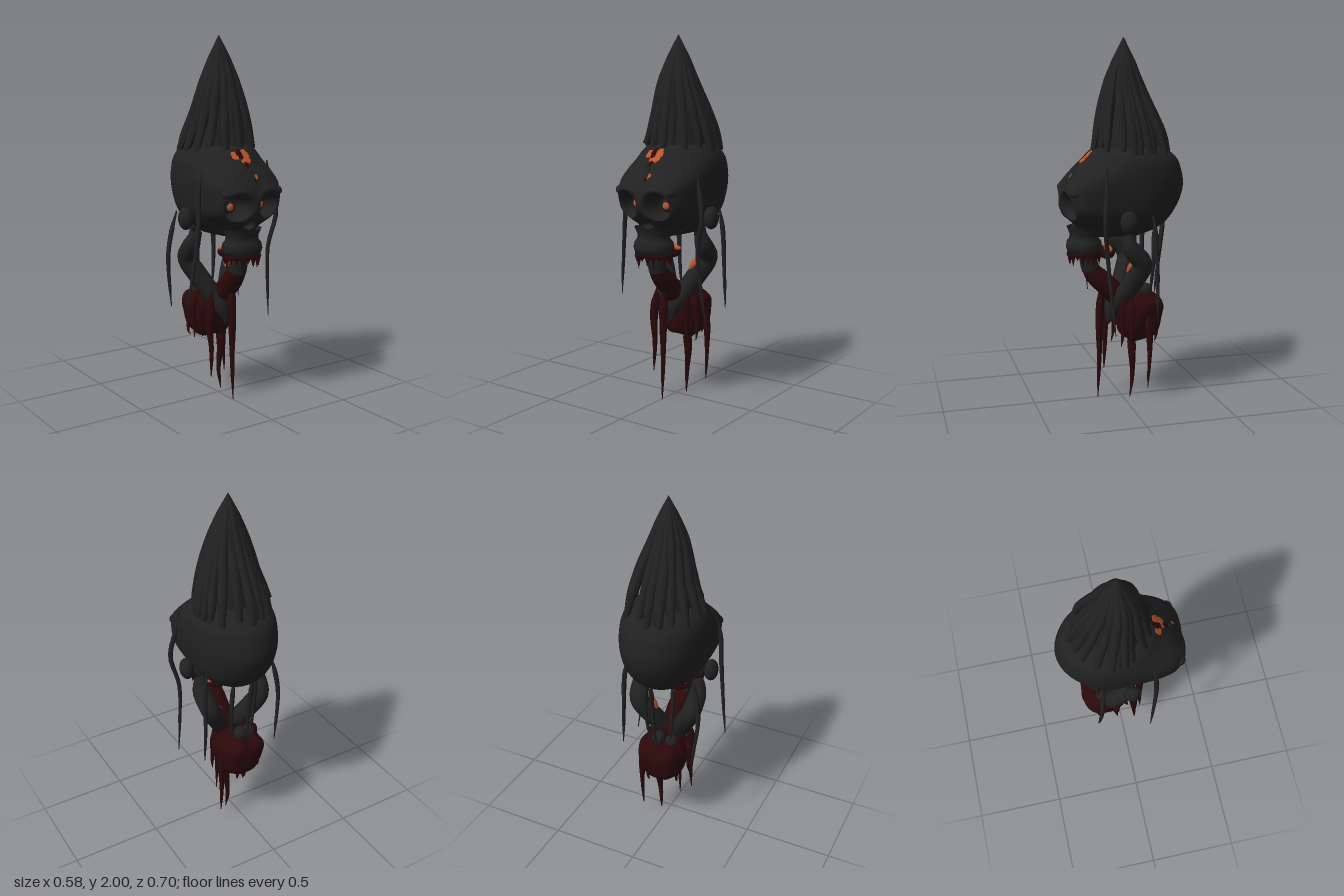
import * as THREE from 'three';

const mat = (name, color, side = THREE.FrontSide) => {
  const m = new THREE.MeshStandardMaterial({ color, side });
  m.name = name;
  return m;
};
const V = (p) => new THREE.Vector3(...p);
const smooth = THREE.MathUtils.smoothstep;

// Tube through points, its radius following the list of radii
function taper(points, radii, seg = 20, sides = 8) {
  const curve = new THREE.CatmullRomCurve3(points.map(V));
  const geo = new THREE.TubeGeometry(curve, seg, 1, sides);
  const pos = geo.attributes.position, v = new THREE.Vector3();
  for (let i = 0; i <= seg; i++) {
    const c = curve.getPointAt(i / seg);
    const f = (i / seg) * (radii.length - 1), k = Math.min(Math.floor(f), radii.length - 2);
    const r = THREE.MathUtils.lerp(radii[k], radii[k + 1], f - k);
    for (let j = 0; j <= sides; j++) {
      const n = i * (sides + 1) + j;
      v.fromBufferAttribute(pos, n).sub(c).multiplyScalar(r).add(c);
      pos.setXYZ(n, v.x, v.y, v.z);
    }
  }
  geo.computeVertexNormals();
  return geo;
}

// Skull lofted from horizontal sections: y, half width, front z, back z
function skullGeometry() {
  const rows = [
    [1.43, 0.001, -0.03, -0.032], [1.425, 0.1, 0.1, -0.15], [1.4, 0.185, 0.175, -0.25],
    [1.35, 0.222, 0.225, -0.308], [1.28, 0.234, 0.285, -0.335], [1.21, 0.233, 0.33, -0.345],
    [1.14, 0.226, 0.335, -0.33], [1.07, 0.212, 0.325, -0.295], [1.01, 0.18, 0.285, -0.25],
    [0.965, 0.13, 0.268, -0.19], [0.94, 0.1, 0.255, -0.11], [0.935, 0.001, -0.02, -0.04],
  ];
  const A = new THREE.CatmullRomCurve3(rows.map((r) => new THREE.Vector3(r[1], r[0], r[2])));
  const B = new THREE.CatmullRomCurve3(rows.map((r) => new THREE.Vector3(r[1], r[0], r[3])));
  const H = 120, N = 180, cz = -0.03, cx = 0.015, pos = [];
  for (let i = 0; i <= H; i++) {
    const a = A.getPoint(i / H), b = B.getPoint(i / H);
    const n = 2 + 1.8 * (1 - smooth(a.y, 1.2, 1.36)) * smooth(a.y, 0.98, 1.1);
    for (let j = 0; j < N; j++) {
      const t = (j / N) * Math.PI * 2, c = Math.cos(t), s = Math.sin(t), e = s > 0 ? n : 2;
      const r = (Math.abs(c) ** e + Math.abs(s) ** e) ** (-1 / e);
      const x = cx + Math.max(a.x, 0.0005) * r * c, y = a.y;
      let z = cz + (s > 0 ? a.z - cz : cz - b.z) * r * s;
      if (z > 0.12) {
        // eye sockets with raised rims
        for (const ex of [-0.088, 0.106]) {
          const d = Math.hypot(x - ex, y - 1.112);
          z -= 0.1 * (1 - smooth(d, 0.04, 0.076));
          z += 0.012 * Math.exp(-(((d - 0.088) / 0.02) ** 2));
        }
        // nose hole and hollow cheeks
        const w = 0.036 * smooth(1.085 - y, 0, 0.075) * smooth(y, 0.985, 1.0);
        z -= 0.05 * (1 - smooth(Math.abs(x - 0.01), w * 0.6, w + 0.004)) * (w > 0.004 ? 1 : 0);
        z -= 0.04 * smooth(Math.abs(x - 0.01), 0.08, 0.14) * (1 - smooth(y, 0.97, 1.04));
      }
      pos.push(x, y, z);
    }
  }
  // faces sorted by colour: 0 skin, 1 orange wound, 2 red wound
  const faces = [[], [], []];
  const inside = (x, y, list) => list.some(([px, py, rx, ry]) => ((x - px) / rx) ** 2 + ((y - py) / ry) ** 2 < 1);
  const red = [[0.004, 1.38, 0.018, 0.025], [0.016, 1.322, 0.011, 0.022], [0.03, 1.25, 0.009, 0.012]];
  const orange = [[-0.024, 1.374, 0.024, 0.02], [0.036, 1.37, 0.024, 0.034], [0.008, 1.352, 0.015, 0.014], [0.042, 1.27, 0.009, 0.014]];
  for (let i = 0; i < H; i++) for (let j = 0; j < N; j++) {
    const k = (j + 1) % N, p = i * N + j, q = i * N + k;
    const x = pos[p * 3], y = pos[p * 3 + 1], z = pos[p * 3 + 2];
    const g = z < 0.1 ? 0 : inside(x, y, red) ? 2 : inside(x, y, orange) ? 1 : 0;
    faces[g].push(p, q, p + N, q, q + N, p + N);
  }
  const geo = new THREE.BufferGeometry();
  geo.setAttribute('position', new THREE.Float32BufferAttribute(pos, 3));
  geo.setIndex(faces.flat());
  let start = 0;
  faces.forEach((f, g) => { geo.addGroup(start, f.length, g); start += f.length; });
  geo.computeVertexNormals();
  return geo;
}

export function createModel() {
  const root = new THREE.Group();
  const dark = mat('charcoal skin', 0x212121, THREE.DoubleSide);
  const blood = mat('dark red flesh', 0x2b0809, THREE.DoubleSide);
  const ember = mat('ember orange', 0xb9552b);
  const add = (name, geo, m, p = [0, 0, 0], s = [1, 1, 1]) => {
    const mesh = new THREE.Mesh(geo, m);
    mesh.name = name;
    mesh.position.set(...p);
    mesh.scale.set(...s);
    root.add(mesh);
    return mesh;
  };
  const ball = new THREE.SphereGeometry(1, 24, 16);

  add('skull', skullGeometry(), [dark, ember, blood]);
  add('woundRidge', ball, dark, [0.018, 1.285, 0.268], [0.014, 0.028, 0.016]);
  for (const side of [-1, 1]) {
    const x = 0.009 + side * 0.097;
    add('eyeball', ball, dark, [x, 1.108, 0.222], [0.036, 0.036, 0.022]);
    add('iris', ball, ember, [x, 1.108, 0.236], [0.022, 0.021, 0.014]);
    add('browKnob', ball, dark, [0.013 + side * 0.155, 1.185, 0.292], [0.036, 0.028, 0.036]);
    add('ear', ball, dark, [0.01 + side * 0.24, 1.032, 0.025], [0.038, 0.062, 0.048]);
  }

  // Pointed crown: a slim inner core wrapped in uneven ropes that meet at the tip
  const core = [[0.15, 1.36], [0.13, 1.48], [0.105, 1.62], [0.065, 1.8], [0.001, 1.99]];
  add('crownCore', new THREE.LatheGeometry(core.map((p) => new THREE.Vector2(...p)), 24), dark, [0.01, 0, -0.02]);
  const ropes = 22;
  for (let i = 0; i < ropes; i++) {
    const a = (i / ropes) * Math.PI * 2 + 0.14 * Math.sin(i * 5.1), k = 0.94 + 0.06 * Math.sin(i * 2.7);
    const c = Math.cos(a), s = Math.sin(a), left = Math.max(-c, 0);
    const at = (r, y, z) => [0.01 + c * r * k, y, z + s * r * k];
    const foot = 1.38 + 0.03 * Math.max(s, 0) + 0.015 * Math.sin(i * 3.3);
    const pts = [[0.01, 2, -0.01], at(0.045, 1.88, -0.01), at(0.095, 1.75, -0.01), at(0.16 - 0.02 * left, 1.58, -0.03), at(0.198 - 0.01 * left, 1.46, -0.045), at(0.214, foot, -0.05)];
    add('crownRope', taper(pts, [0.002, 0.02, 0.025, 0.026 + 0.004 * Math.sin(i * 4.3), 0.025, 0.018], 18), dark);
  }

  // Upper jaw with lip, gum and hanging teeth
  const lip = [[0.001, 0.85], [0.07, 0.842], [0.105, 0.843], [0.116, 0.875], [0.11, 0.905], [0.095, 0.92], [0.092, 0.945], [0.11, 0.985]];
  add('upperJaw', new THREE.LatheGeometry(lip.map((p) => new THREE.Vector2(...p)), 32), dark, [0.007, 0, 0.213], [1, 1, 0.85]);
  const gum = add('gum', new THREE.TorusGeometry(0.095, 0.014, 8, 32), blood, [0.007, 0.838, 0.213], [1, 0.85, 1]);
  gum.rotation.x = Math.PI / 2;
  for (let i = 0; i < 18; i++) {
    const a = (i / 18) * Math.PI * 2, h = 0.05 + 0.022 * Math.sin(i * 2.3);
    const tooth = add('tooth', new THREE.ConeGeometry(0.014, h, 6), blood, [0.007 + 0.097 * Math.cos(a), 0.835 - h / 2, 0.213 + 0.083 * Math.sin(a)]);
    tooth.rotation.x = Math.PI;
  }
  add('throatLump', ball, blood, [0.015, 0.838, 0.088], [0.075, 0.038, 0.045]);
  add('throatGlow', ball, ember, [0.02, 0.858, 0.088], [0.076, 0.02, 0.027]);

  // Neck cords curving from the skull down into the flesh
  const cord = [0.03, 0.05, 0.054, 0.056, 0.056, 0.052, 0.044, 0.004];
  add('rightCord', taper([[-0.155, 0.955, 0.02], [-0.168, 0.89, -0.005], [-0.158, 0.79, -0.075], [-0.11, 0.7, -0.05], [-0.055, 0.6, 0.0], [-0.01, 0.5, 0.055], [0, 0.42, 0.075]], cord, 28, 12), dark);
  add('leftCord', taper([[0.17, 0.955, 0.02], [0.18, 0.88, -0.005], [0.165, 0.79, -0.075], [0.115, 0.7, -0.05], [0.06, 0.6, 0.0], [0.02, 0.52, 0.04], [0.015, 0.44, 0.065]], cord, 28, 12), dark);
  const glow = add('cordGlow', ball, ember, [0.106, 0.752, -0.038], [0.026, 0.06, 0.034]);
  glow.rotation.z = -0.6;
  add('windpipe', taper([[0.01, 0.88, 0.19], [0.005, 0.79, 0.187], [0.005, 0.74, 0.175]], [0.042, 0.05, 0.05], 8, 12), dark);
  add('tongue', taper([[0.005, 0.765, 0.185], [0.005, 0.72, 0.16], [0.01, 0.66, 0.1], [0.01, 0.58, 0.02], [0.01, 0.5, -0.05]], [0.045, 0.058, 0.06, 0.06, 0.05], 16, 12), blood);

  // Lumpy flesh mass
  const flesh = new THREE.SphereGeometry(1, 36, 26), fp = flesh.attributes.position;
  for (let i = 0; i < fp.count; i++) {
    const x = fp.getX(i), y = fp.getY(i), z = fp.getZ(i);
    const k = (Math.abs(x) ** 3 + Math.abs(y) ** 3 + Math.abs(z) ** 3) ** (-1 / 3) * (1 + 0.05 * Math.sin(6 * x + 2) * Math.sin(5 * z + 4 * y));
    const w = k * (1 + 0.13 * y);
    fp.setXYZ(i, 0.13 * x * w, 0.46 + y * k * (y > 0 ? 0.13 : 0.135) + 0.015 * Math.sin(9 * x) * Math.max(y, 0), -0.1 + 0.128 * z * w);
  }
  flesh.computeVertexNormals();
  add('flesh', flesh, blood);
  add('fleshKnot', ball, dark, [0.01, 0.605, -0.14], [0.038, 0.042, 0.038]);
  add('fleshKnot', ball, dark, [-0.06, 0.585, -0.12], [0.035, 0.04, 0.035]);

  // Drips: x, z, top, tip, radius
  const drips = [
    [0.005, 0.128, 0.67, 0.0, 0.026], [-0.1, 0.065, 0.62, 0.13, 0.027], [0.045, -0.05, 0.4, 0.0, 0.026],
    [0.125, -0.13, 0.55, 0.07, 0.024], [-0.135, -0.05, 0.58, 0.34, 0.024], [-0.065, 0.03, 0.6, 0.3, 0.026],
    [0.08, 0.01, 0.61, 0.31, 0.028], [0.122, -0.03, 0.6, 0.32, 0.024], [-0.1, -0.14, 0.5, 0.33, 0.02],
    [0.0, -0.16, 0.45, 0.3, 0.03], [0.05, -0.19, 0.5, 0.32, 0.024],
  ];
  drips.forEach(([x, z, top, tip, r], i) => {
    const m = (top + tip) / 2, b = 0.006 * Math.sin(i * 2.1);
    add('drip', taper([[x * 0.85, top, z * 0.9], [x - b, m + 0.06, z], [x + b, m - 0.08, z + b], [x, tip, z + 0.01]], [0.003, r, r * 0.8, r * 0.55, r * 0.4, 0.002], 16, 8), blood);
  });

  // Long thin tendrils hanging from the skull
  const tendrils = [
    [[-0.2, 1.3, 0.14], [-0.225, 1.2, 0.148], [-0.235, 1.0, 0.155], [-0.255, 0.8, 0.145], [-0.285, 0.56, 0.125]],
    [[0.225, 1.33, 0.14], [0.25, 1.2, 0.145], [0.278, 1.04, 0.16], [0.24, 0.85, 0.14], [0.255, 0.62, 0.12], [0.275, 0.43, 0.105]],
    [[-0.19, 1.05, -0.13], [-0.215, 0.95, -0.14], [-0.235, 0.8, -0.15], [-0.205, 0.5, -0.17]],
    [[0.205, 1.08, -0.12], [0.225, 0.95, -0.13], [0.23, 0.75, -0.14], [0.24, 0.5, -0.14]],
    [[-0.08, 1.0, -0.15], [-0.08, 0.85, -0.145], [-0.06, 0.58, -0.14]],
    [[0.07, 1.0, -0.17], [0.08, 0.8, -0.165], [0.06, 0.58, -0.15]],
    [[0.0, 1.05, -0.25], [0.005, 0.85, -0.225], [0.0, 0.58, -0.195]],
  ];
  for (const pts of tendrils) add('tendril', taper(pts, [0.004, 0.014, 0.013, 0.011, 0.009, 0.002], 20, 7), dark);
  return root;
}
